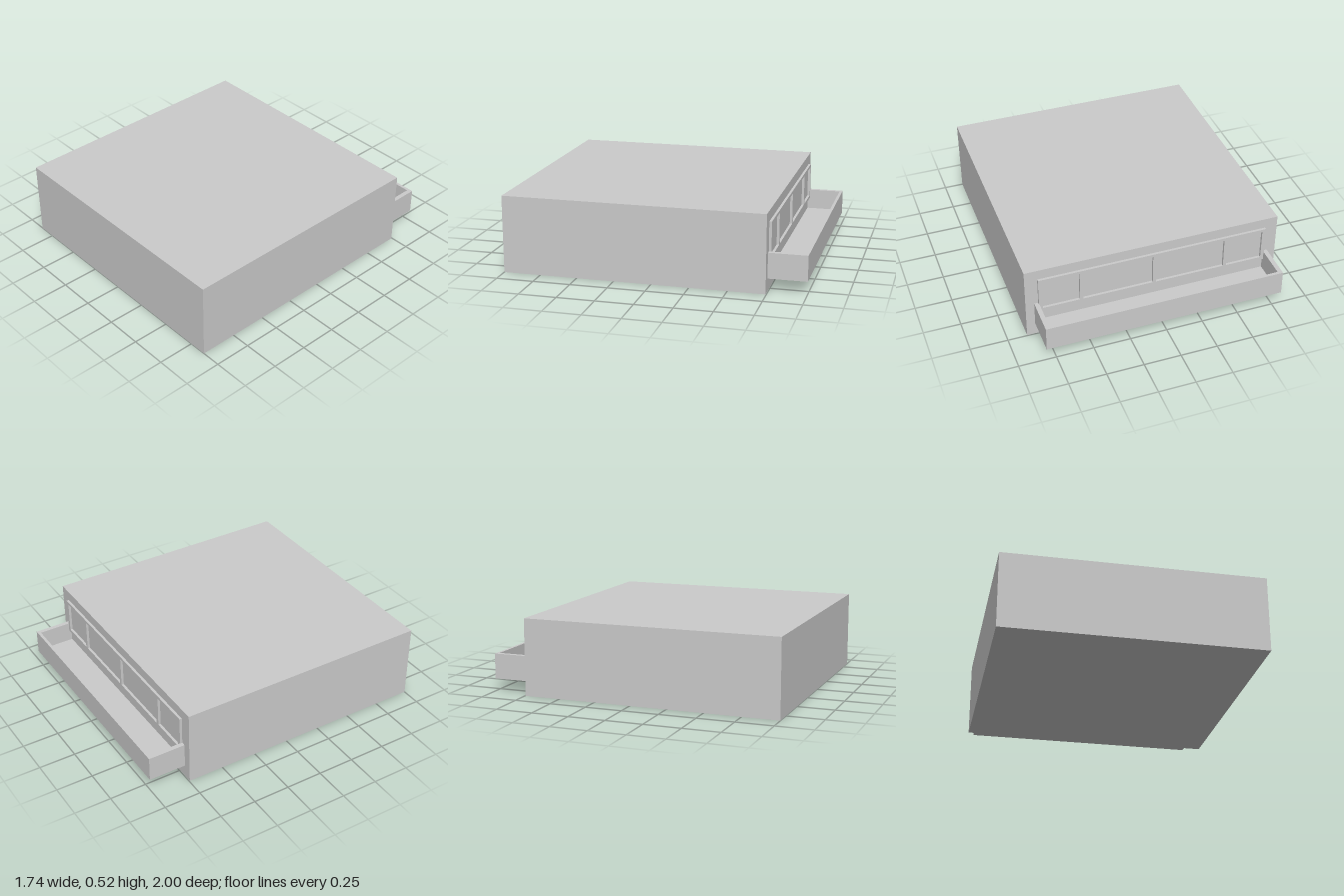
import * as THREE from 'three';

const material = new THREE.MeshStandardMaterial({ color: 0xcccccc, flatShading: true });

// Box given by its minimum and maximum corners
function box(name, [x0, y0, z0], [x1, y1, z1]) {
  const mesh = new THREE.Mesh(new THREE.BoxGeometry(x1 - x0, y1 - y0, z1 - z0), material);
  mesh.name = name;
  mesh.position.set((x0 + x1) / 2, (y0 + y1) / 2, (z0 + z1) / 2);
  return mesh;
}

function rectangle(PathType, x0, y0, x1, y1) {
  return new PathType([[x0, y0], [x1, y0], [x1, y1], [x0, y1]].map(p => new THREE.Vector2(...p)));
}

export function createModel() {
  const model = new THREE.Group();
  model.name = 'apartmentBlock';
  const wallZ = -0.745;

  // Main volume
  model.add(box('building', [-0.87, 0, wallZ], [0.87, 0.52, 1]));

  // Window frame with four openings, the outer pair narrower
  const frameShape = rectangle(THREE.Shape, -0.785, 0.195, 0.785, 0.45);
  for (const [a, b] of [[-0.76, -0.51], [-0.488, -0.011], [0.011, 0.488], [0.51, 0.76]]) {
    frameShape.holes.push(rectangle(THREE.Path, a, 0.217, b, 0.43));
  }
  const frame = new THREE.Mesh(
    new THREE.ExtrudeGeometry(frameShape, { depth: 0.017, bevelEnabled: false }), material);
  frame.name = 'windowFrame';
  frame.position.z = wallZ - 0.017;
  model.add(frame);

  // Balcony: floor slab and a U-shaped parapet, open towards the wall
  const balcony = new THREE.Group();
  balcony.name = 'balcony';
  balcony.add(box('balconyFloor', [-0.782, 0.085, -0.98], [0.782, 0.115, wallZ]));
  const outline = [[-0.812, wallZ], [-0.812, -1], [0.812, -1], [0.812, wallZ],
    [0.782, wallZ], [0.782, -0.98], [-0.782, -0.98], [-0.782, wallZ]];
  const parapetShape = new THREE.Shape(outline.map(([x, z]) => new THREE.Vector2(x, -z)));
  const parapet = new THREE.Mesh(
    new THREE.ExtrudeGeometry(parapetShape, { depth: 0.17, bevelEnabled: false }), material);
  parapet.name = 'balconyParapet';
  parapet.rotation.x = -Math.PI / 2;
  parapet.position.y = 0.085;
  balcony.add(parapet);
  model.add(balcony);

  return model;
}
